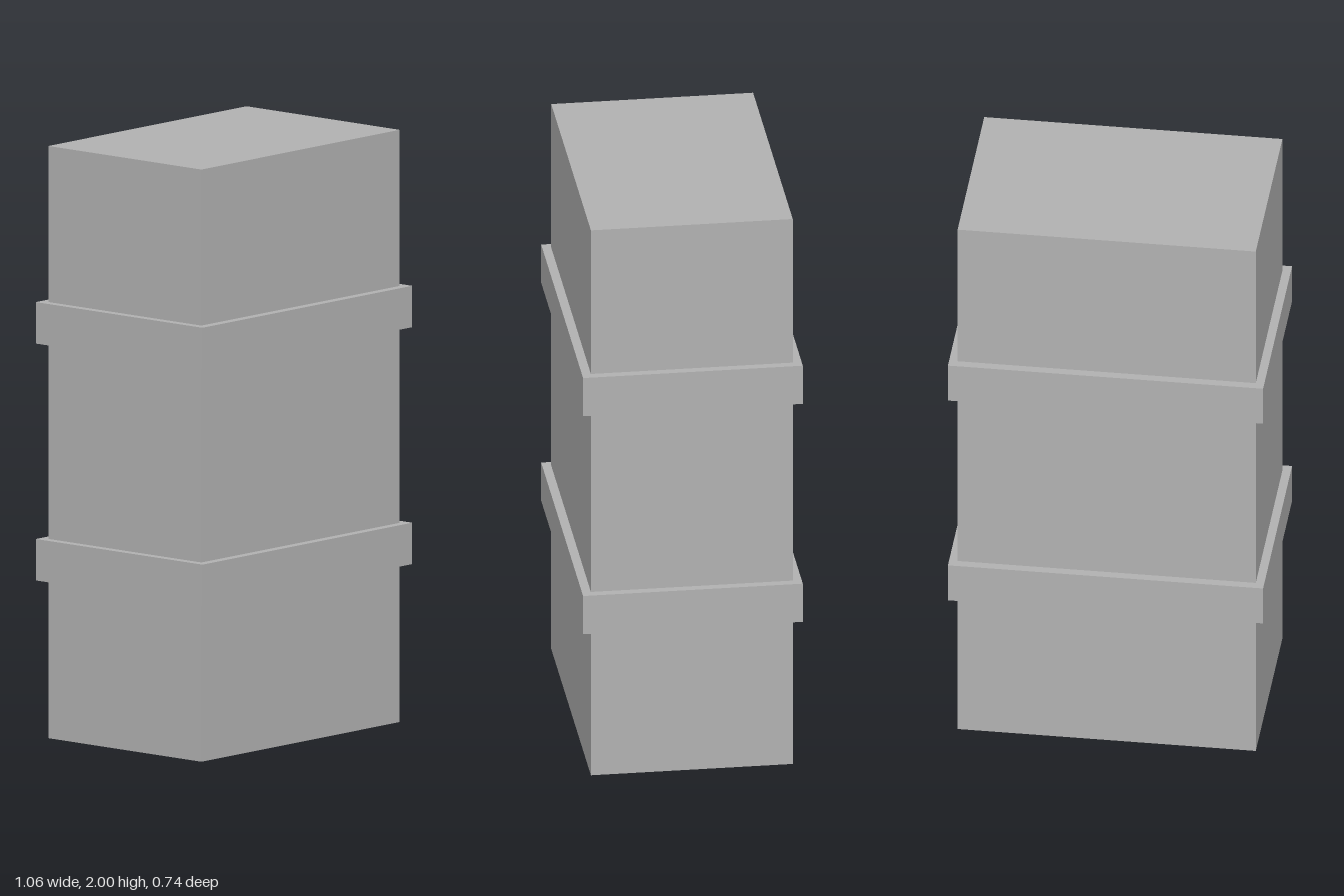
import * as THREE from 'three';

export function createModel() {
  const model = new THREE.Group();
  const grey = new THREE.MeshStandardMaterial({ color: 0xb2b2b2 });
  grey.name = 'grey';

  const addBox = (name, width, height, depth, y) => {
    const mesh = new THREE.Mesh(new THREE.BoxGeometry(width, height, depth), grey);
    mesh.name = name;
    mesh.position.y = y;
    model.add(mesh);
  };

  // Rectangular pillar
  addBox('pillar', 1, 2, 0.677, 1);

  // Two raised bands wrapped around it
  addBox('lowerBand', 1.057, 0.14, 0.737, 0.603);
  addBox('upperBand', 1.057, 0.14, 0.737, 1.403);

  return model;
}
